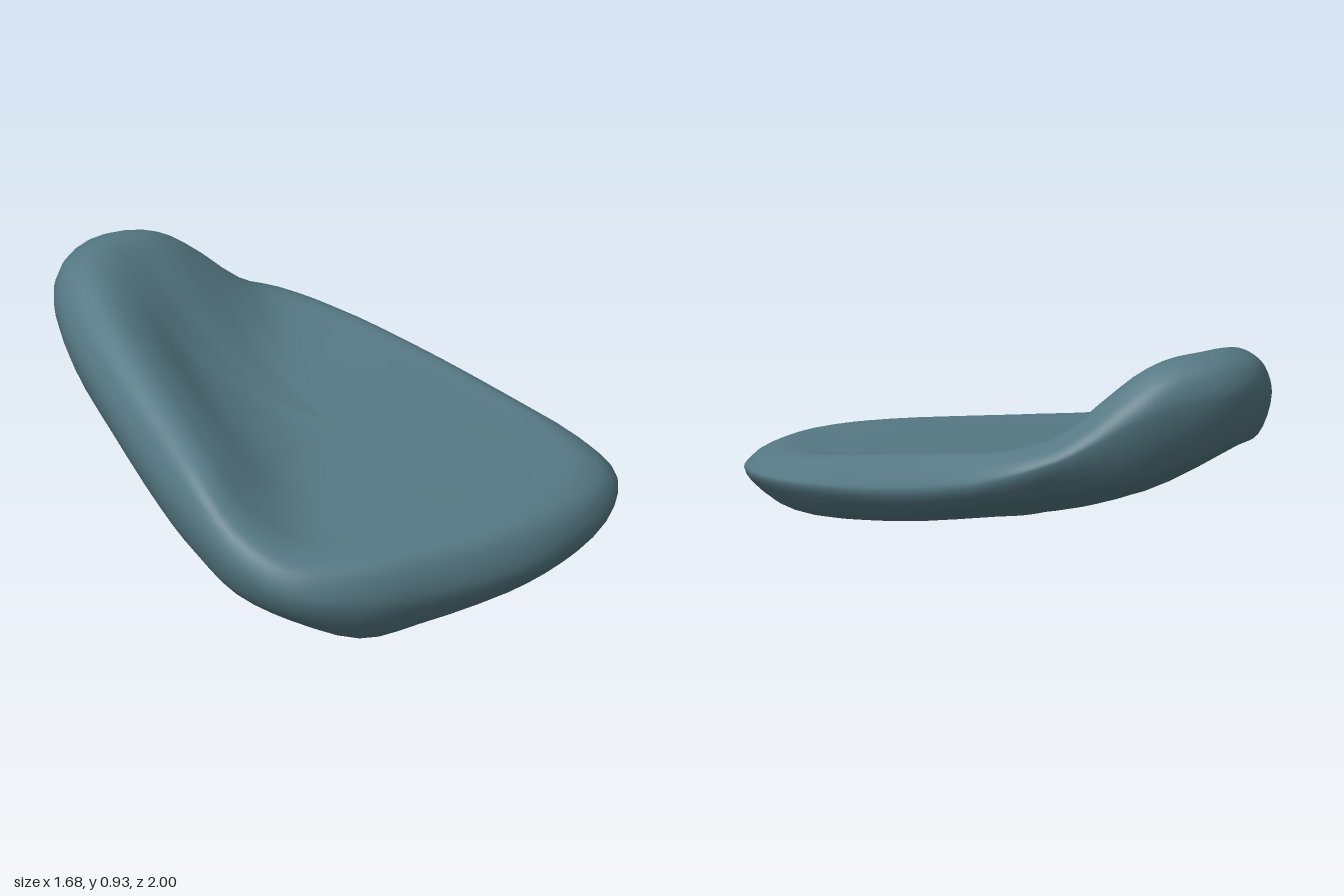
import * as THREE from 'three';
import { mergeVertices } from 'three/addons/utils/BufferGeometryUtils.js';

// Rim stations around the outline: x, z, height at the widest point, crest height, underside height
const RIM = [
  [0.84, 0.44, 0.30, 0.39, 0.18], [0.80, 0.69, 0.28, 0.38, 0.17], [0.65, 0.86, 0.24, 0.375, 0.14],
  [0.43, 0.96, 0.21, 0.375, 0.105], [0.18, 1.00, 0.18, 0.37, 0.07], [-0.20, 0.97, 0.17, 0.36, 0.02],
  [-0.45, 0.93, 0.18, 0.355, 0.005], [-0.69, 0.81, 0.23, 0.37, 0.09], [-0.81, 0.60, 0.32, 0.46, 0.14],
  [-0.84, 0.37, 0.41, 0.58, 0.21], [-0.83, 0.10, 0.48, 0.67, 0.29], [-0.79, -0.27, 0.60, 0.77, 0.41],
  [-0.72, -0.64, 0.70, 0.86, 0.50], [-0.62, -0.88, 0.77, 0.92, 0.55], [-0.45, -0.99, 0.79, 0.935, 0.54],
  [-0.26, -1.00, 0.77, 0.915, 0.49], [-0.09, -0.98, 0.73, 0.835, 0.45], [0.15, -0.90, 0.60, 0.66, 0.42],
  [0.31, -0.84, 0.54, 0.605, 0.40], [0.45, -0.68, 0.47, 0.565, 0.36], [0.61, -0.33, 0.39, 0.51, 0.28],
  [0.76, 0.10, 0.33, 0.44, 0.22],
];
const AROUND = RIM.length * 3;
const ACROSS = 44;

// Gently tilted planes for the dished floor and the underside
const floorY = (z) => 0.445 - 0.13 * z;
const underY = (z) => 0.18 - 0.2 * z;

// Half cross-section from the underside centre, round the rim, to the floor centre
function spoke(x, z, mid, top, low) {
  const p = (s, y) => new THREE.Vector3(x * s, y, z * s);
  const { lerp, clamp } = THREE.MathUtils;
  // The edge is rounded all about but more bevelled at the right
  const bevel = clamp(x - Math.max(0, z - 0.4), 0, 0.8) / 0.8;
  // The wall inside the rim slopes most gently at the left
  const slope = clamp(-x / 0.6, 0, 1);
  return new THREE.CatmullRomCurve3([
    p(0, underY(0)),
    p(0.5, lerp(underY(z * 0.5), low, 0.25)),
    p(0.86, low),
    p(0.945, lerp(mid, low, 0.75 - 0.22 * bevel)),
    p(1, mid),
    p(0.975, lerp(mid, top, 0.6 - 0.3 * bevel)),
    p(0.93, lerp(mid, top, 0.87 - 0.2 * bevel)),
    p(0.85, top),
    p(0.72, lerp(floorY(z * 0.72), top, 0.62 + 0.22 * slope)),
    p(0.48, lerp(floorY(z * 0.48), top, 0.14 + 0.17 * slope)),
    p(0.24, lerp(floorY(z * 0.24), top, 0.05 * slope)),
    p(0, floorY(0)),
  ]);
}

function shellGeometry() {
  const plan = new THREE.CatmullRomCurve3(RIM.map(([x, z]) => new THREE.Vector3(x, 0, z)), true);
  const heights = new THREE.CatmullRomCurve3(RIM.map((r) => new THREE.Vector3(r[2], r[3], r[4])), true, 'catmullrom', 0.5);
  const positions = [];
  const indices = [];
  for (let i = 0; i < AROUND; i++) {
    const a = plan.getPoint(i / AROUND);
    const h = heights.getPoint(i / AROUND);
    const curve = spoke(a.x, a.z, h.x, h.y, h.z);
    for (let j = 0; j <= ACROSS; j++) positions.push(...curve.getPoint(j / ACROSS).toArray());
  }
  const row = ACROSS + 1;
  for (let i = 0; i < AROUND; i++) {
    const next = (i + 1) % AROUND;
    for (let j = 0; j < ACROSS; j++) {
      const a = i * row + j, b = next * row + j;
      if (j > 0) indices.push(a, a + 1, b);
      if (j < ACROSS - 1) indices.push(b, a + 1, b + 1);
    }
  }
  const raw = new THREE.BufferGeometry();
  raw.setAttribute('position', new THREE.Float32BufferAttribute(positions, 3));
  raw.setIndex(indices);
  const geometry = mergeVertices(raw, 1e-5);
  geometry.computeVertexNormals();
  return geometry;
}

export function createModel() {
  const group = new THREE.Group();
  group.name = 'dishedCushion';

  // Soft shell with a raised left and back rim
  const shell = new THREE.Mesh(shellGeometry(), new THREE.MeshStandardMaterial({ color: 0x557883 }));
  shell.name = 'cushionShell';
  group.add(shell);

  // Rest on the ground
  const box = new THREE.Box3().setFromObject(group);
  shell.position.y = -box.min.y;
  return group;
}
